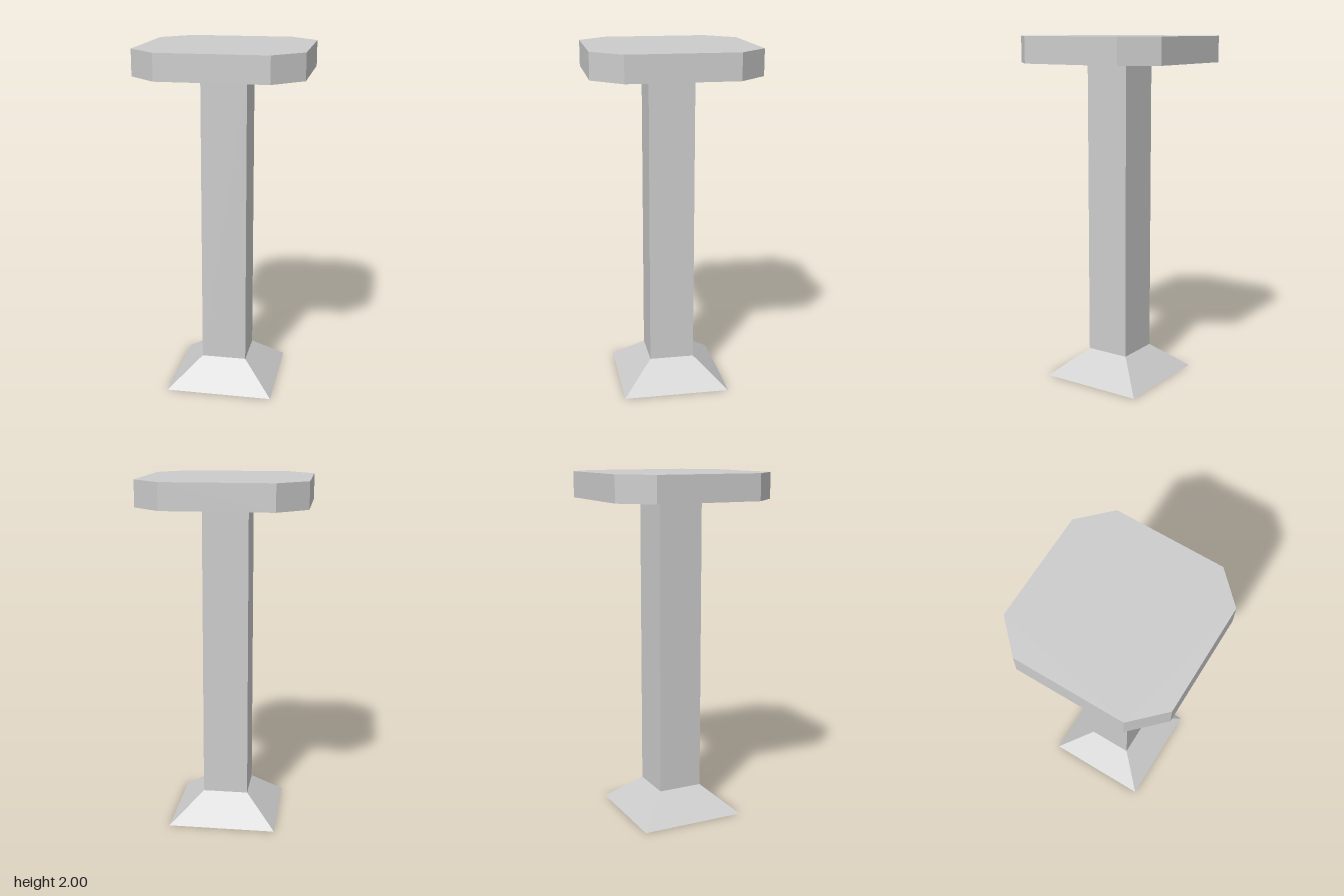
import * as THREE from 'three';

export function createModel() {
  const group = new THREE.Group();
  const stone = new THREE.MeshStandardMaterial({ color: 0xcccccc, flatShading: true });
  stone.name = 'light grey';

  const add = (name, geometry, y) => {
    const mesh = new THREE.Mesh(geometry, stone);
    mesh.name = name;
    mesh.position.y = y;
    group.add(mesh);
  };

  const baseHeight = 0.155, slabBottom = 1.853, top = 2;
  const footHalf = 0.307, columnHalf = 0.13, slabHalf = 0.467, slabFlat = 0.305;

  // Flared square foot: a four-sided frustum turned to face the axes
  const foot = new THREE.CylinderGeometry(
    columnHalf * Math.SQRT2, footHalf * Math.SQRT2, baseHeight, 4);
  foot.rotateY(Math.PI / 4);
  add('foot', foot, baseHeight / 2);

  // Square column
  const columnHeight = slabBottom - baseHeight;
  add('column', new THREE.BoxGeometry(columnHalf * 2, columnHeight, columnHalf * 2),
    baseHeight + columnHeight / 2);

  // Square top slab with cut corners
  const outline = new THREE.Shape([
    [slabFlat, -slabHalf], [slabHalf, -slabFlat],
    [slabHalf, slabFlat], [slabFlat, slabHalf],
    [-slabFlat, slabHalf], [-slabHalf, slabFlat],
    [-slabHalf, -slabFlat], [-slabFlat, -slabHalf],
  ].map(([x, z]) => new THREE.Vector2(x, z)));
  const slab = new THREE.ExtrudeGeometry(outline, { depth: top - slabBottom, bevelEnabled: false });
  slab.rotateX(-Math.PI / 2);
  add('topSlab', slab, slabBottom);

  return group;
}
